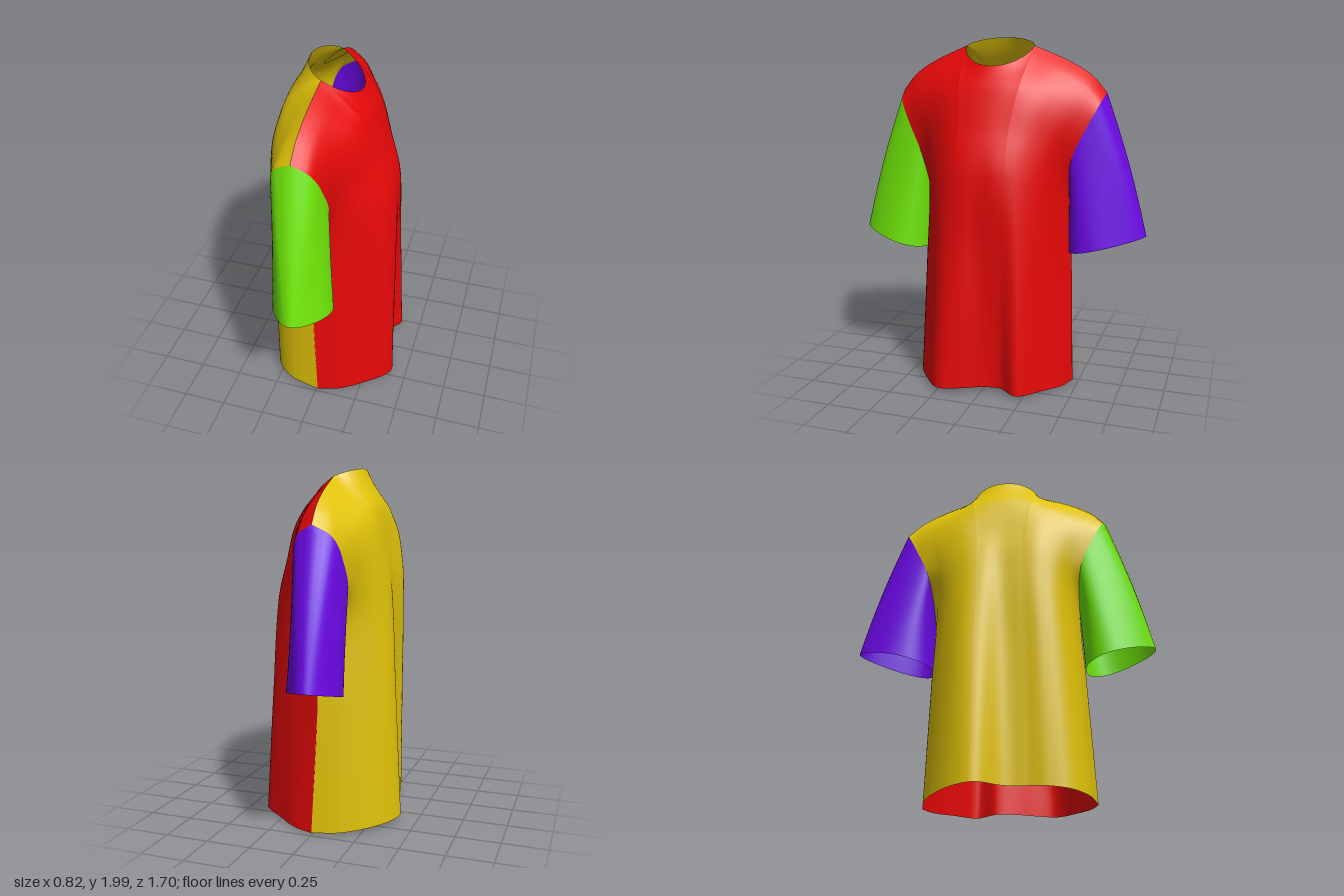
import * as THREE from 'three';
import { mergeVertices } from 'three/addons/utils/BufferGeometryUtils.js';

const { lerp } = THREE.MathUtils;

const cloth = (name, color) => {
  const m = new THREE.MeshStandardMaterial({ color, side: THREE.DoubleSide });
  m.name = name;
  return m;
};

// Smooth interpolation through unevenly spaced keys
function spline(keys, vals, q) {
  const n = keys.length;
  let i = 0;
  while (i < n - 2 && q > keys[i + 1]) i++;
  const slope = (k) => {
    const a = Math.max(0, k - 1), b = Math.min(n - 1, k + 1);
    return (vals[b] - vals[a]) / (keys[b] - keys[a]);
  };
  const h = keys[i + 1] - keys[i], f = (q - keys[i]) / h, f2 = f * f, f3 = f2 * f;
  return (2 * f3 - 3 * f2 + 1) * vals[i] + (f3 - 2 * f2 + f) * h * slope(i)
    + (3 * f2 - 2 * f3) * vals[i + 1] + (f3 - f2) * h * slope(i + 1);
}

// Grid surface over two parameter lists
function surface(us, vs, point, flip) {
  const pos = [], idx = [], w = us.length;
  for (const v of vs) for (const u of us) pos.push(...point(u, v));
  for (let j = 0; j < vs.length - 1; j++) {
    for (let i = 0; i < w - 1; i++) {
      const a = j * w + i, b = a + 1, c = a + w, d = c + 1;
      if (flip) idx.push(a, c, b, b, c, d);
      else idx.push(a, b, c, b, d, c);
    }
  }
  const g = new THREE.BufferGeometry();
  g.setAttribute('position', new THREE.Float32BufferAttribute(pos, 3));
  g.setIndex(idx);
  const merged = mergeVertices(g, 1e-5);
  merged.computeVertexNormals();
  return merged;
}

const range = (n, a = 0, b = 1) => Array.from({ length: n + 1 }, (_, i) => a + ((b - a) * i) / n);

const SHOULDER = 0.61, NECK = 0.2, ARMPIT = 0.36, NECK_FADE = 0.25;
const ROWS = [0, 0.03, 0.1, 0.22, ARMPIT, 0.6, 1];     // shoulder to hem
const WIDTHS = [SHOULDER, 0.59, 0.532, 0.445, 0.427, 0.445, 0.473];
const COLS = [-1, -0.93, -0.75, -0.5, -0.25, 0, 0.25, 0.5, 0.75, 0.93, 1];

// Depth of each panel across its width, one line per row below the top edge
const chest = {
  neckDepth: 0.17, neckRise: -0.11, hem: [0.01, 0.04],
  rows: [
    [0.025, 0.02, 0.025, 0.03, 0.025, 0.025, 0.025, 0.03, 0.025, 0.02, 0.025],
    [0.065, 0.075, 0.105, 0.14, 0.14, 0.14, 0.14, 0.14, 0.105, 0.075, 0.065],
    [0.08, 0.105, 0.175, 0.24, 0.262, 0.27, 0.262, 0.24, 0.175, 0.105, 0.08],
    [0, 0.07, 0.2, 0.3, 0.34, 0.35, 0.35, 0.315, 0.22, 0.09, 0],
    [-0.02, 0.06, 0.21, 0.335, 0.34, 0.345, 0.38, 0.36, 0.24, 0.1, -0.02],
    [0.01, 0.12, 0.24, 0.38, 0.32, 0.345, 0.395, 0.405, 0.27, 0.13, 0.01],
  ],
};
const rear = {
  neckDepth: -0.115, neckRise: 0.045, hem: [0.01, 0.05],
  rows: [
    [-0.15, -0.135, -0.115, -0.1, -0.09, -0.085, -0.09, -0.1, -0.115, -0.135, -0.15],
    [-0.19, -0.2, -0.215, -0.225, -0.215, -0.21, -0.215, -0.225, -0.215, -0.2, -0.19],
    [-0.19, -0.215, -0.265, -0.3, -0.3, -0.295, -0.3, -0.305, -0.27, -0.215, -0.19],
    [-0.04, -0.15, -0.26, -0.33, -0.34, -0.315, -0.32, -0.32, -0.27, -0.15, -0.04],
    [-0.02, -0.14, -0.26, -0.355, -0.365, -0.305, -0.305, -0.315, -0.27, -0.15, -0.02],
    [0.01, -0.13, -0.27, -0.375, -0.405, -0.3, -0.29, -0.305, -0.27, -0.15, 0.01],
  ],
};

// Neckline scoop: crisp at the top edge, softer and fading further down
function scoop(z, t) {
  if (t >= NECK_FADE) return 0;
  const d = 1 - (z / NECK) ** 2, soft = 10 * t;
  return ((d + Math.hypot(d, soft)) / 2) ** 0.6 * (1 - t / NECK_FADE) ** 2;
}

// Point on a panel: s runs across (-1..1), t runs from top edge to hem
function panelPoint(p, s, t) {
  const z0 = Math.abs(s) * SHOULDER, out = Math.max(0, z0 - NECK);
  const topX = -0.03 - 0.03 * out / (SHOULDER - NECK);
  const topY = out > 0 ? spline([NECK, 0.4, 0.53, SHOULDER], [1.955, 1.87, 1.79, 1.7], z0) : 1.955;
  const hemY = lerp(p.hem[1], p.hem[0], s * s);
  const xs = [topX, ...p.rows.map((r) => spline(COLS, r, s))];
  const e = scoop(z0, t);
  return [
    spline(ROWS, xs, t) + p.neckDepth * e,
    lerp(topY, hemY, t) + p.neckRise * e,
    s * spline(ROWS, WIDTHS, t) + 0.01 * t,
  ];
}

// Sleeve: lofts the armhole edge of both panels to a tilted, egg-shaped cuff
function sleeveGeometry(side, cuff) {
  const point = (u, v) => {
    const front = u <= 0.5, k = front ? u * 2 : 2 - u * 2;
    const a = panelPoint(front ? chest : rear, side, k * ARMPIT);
    const ang = u * Math.PI * 2, c = Math.cos(ang), sn = Math.sin(ang);
    const b = [
      cuff.x + cuff.skew * c + cuff.halfX * sn * (1 - 0.32 * c),
      cuff.y + cuff.tilt * c,
      side * (cuff.z + cuff.halfZ * c),
    ];
    const bulge = 0.015 * Math.sin(Math.PI * v);
    return [
      lerp(a[0], b[0], v),
      lerp(a[1], b[1], v),
      lerp(a[2], b[2], v) + side * bulge * Math.max(c, 0),
    ];
  };
  return surface(range(64), range(24), point, side > 0);
}

export function createModel() {
  const shirt = new THREE.Group();
  shirt.name = 'shirt';
  const add = (name, geometry, material) => {
    const m = new THREE.Mesh(geometry, material);
    m.name = name;
    shirt.add(m);
  };

  // Columns are packed closely around the neckline
  const n = NECK / SHOULDER;
  const across = [
    ...range(20, -1, -n),
    ...range(24, -Math.PI / 2, Math.PI / 2).slice(1, -1).map((a) => n * Math.sin(a)),
    ...range(20, n, 1),
  ];
  const down = [...range(32, 0, ARMPIT), ...range(24, ARMPIT, 1).slice(1)];

  // Body panels
  add('chestPanel', surface(across, down, (s, t) => panelPoint(chest, s, t), false), cloth('red', 0xe60808));
  add('rearPanel', surface(across, down, (s, t) => panelPoint(rear, s, t), true), cloth('yellow', 0xe0c208));

  // Sleeves
  add('greenSleeve', sleeveGeometry(1, { x: -0.02, y: 0.815, z: 0.65, halfX: 0.158, halfZ: 0.2, tilt: 0.055, skew: 0.005 }),
    cloth('green', 0x70e608));
  add('purpleSleeve', sleeveGeometry(-1, { x: -0.07, y: 0.84, z: 0.635, halfX: 0.147, halfZ: 0.215, tilt: 0.05, skew: -0.035 }),
    cloth('purple', 0x6c08e6));
  return shirt;
}
